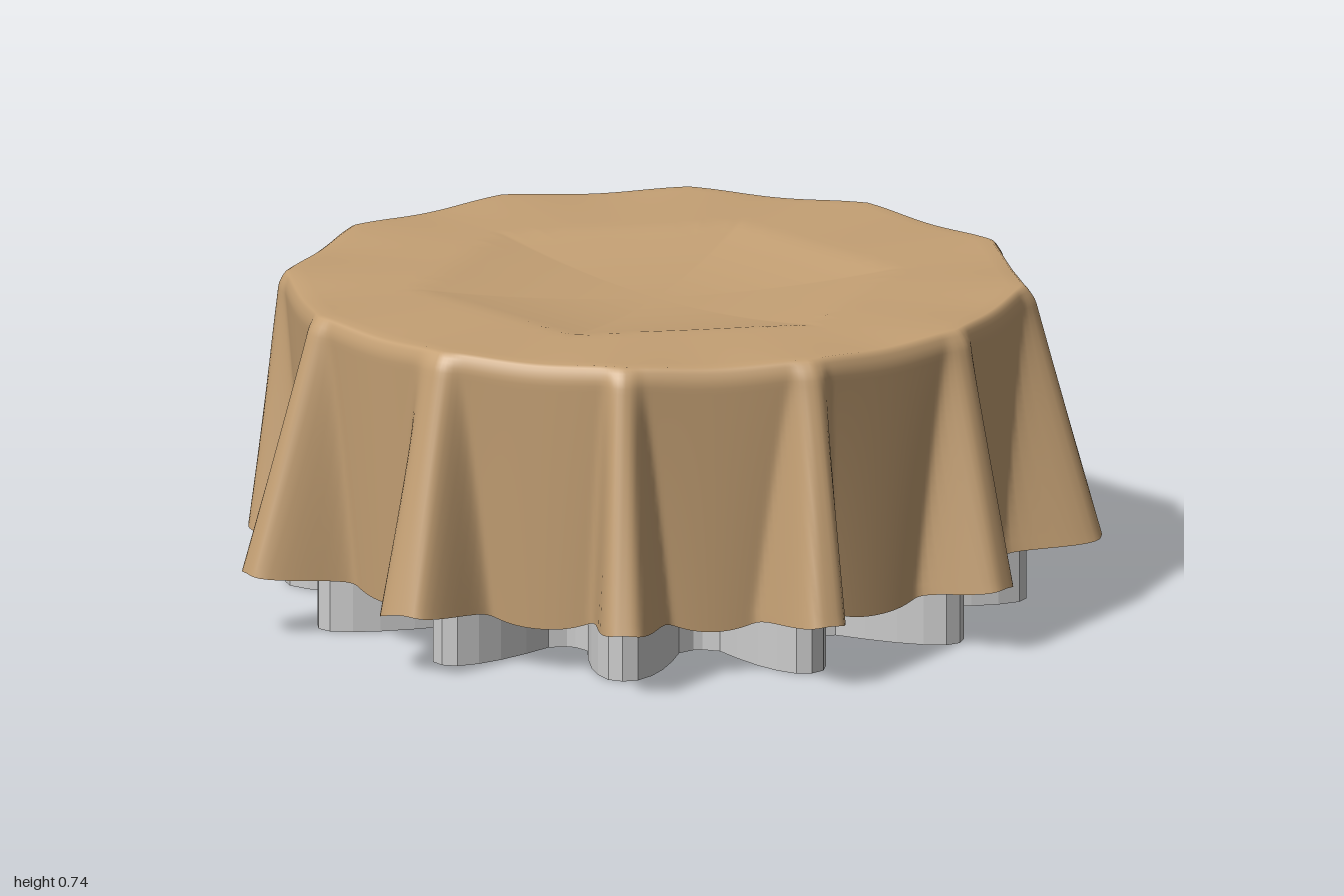
import * as THREE from 'three';

const RAD = Math.PI / 180;
const TEETH = 12, STEP = 30;

// Each cloth fold: [hem angle, hem radius, half width before, half width after], degrees from +z towards +x
const FOLDS = [
  [13.5, 1.01, 5, 4.5], [44.5, 0.985, 4.8, 4.8], [75.5, 1.02, 4.8, 4.8], [106, 1.01, 4.4, 4.4],
  [134.5, 0.995, 5.2, 5.2], [166, 1.01, 4.8, 4.8], [194.8, 1.035, 5, 5], [226.5, 1.035, 6, 15],
  [258.5, 0.93, 5.2, 4.8], [285, 1.03, 5, 4.8], [315.5, 1.01, 8.5, 4.8], [346, 1.02, 4.6, 4.6],
];

// Gear with rounded tapering teeth and a bore
function createGear() {
  const half = [[0.545, 0.135], [0.575, 0.105], [0.65, 0.097], [0.73, 0.082], [0.79, 0.062], [0.835, 0.034], [0.848, 0]];
  const tooth = [...half.map(([r, w]) => [r, -w]), ...half.slice(0, -1).reverse()];
  const points = [];
  for (let k = 0; k < TEETH; k++) {
    const a = (15 + k * STEP) * RAD, c = Math.cos(a), s = Math.sin(a);
    for (const [r, w] of tooth) points.push(new THREE.Vector2(r * c - w * s, r * s + w * c));
  }
  const shape = new THREE.Shape(points);
  shape.holes.push(new THREE.Path().absarc(0, 0, 0.145, 0, Math.PI * 2, true));
  const geometry = new THREE.ExtrudeGeometry(shape, { depth: 0.66, bevelEnabled: false, curveSegments: 6 });
  geometry.rotateX(-Math.PI / 2);
  const gear = new THREE.Mesh(geometry, new THREE.MeshStandardMaterial({ color: 0xcccccc, flatShading: true }));
  gear.name = 'gear';
  return gear;
}

// Radius of the twelve-sided rim, with its corners over the teeth and slightly bowed sides
function rimRadius(deg) {
  const d = ((deg + 15) % STEP + STEP) % STEP - 15;
  return 0.86 * Math.cos(14 * RAD) / Math.cos(d * 14 / 15 * RAD);
}

// Cloth top: flat with a shallow six-sided bowl in the middle
function topPoint(deg, f) {
  const r = rimRadius(deg) * 0.975 * f;
  const x = r * Math.sin(deg * RAD), z = r * Math.cos(deg * RAD);
  const hex = Math.max(Math.abs(z), Math.abs(x) * 0.866 + Math.abs(z) * 0.5) / 0.48;
  const sag = 0.045 * (1 - Math.min(1, hex) ** 2);
  const wave = 0.004 * Math.cos(deg * RAD * TEETH) * f ** 6;
  return [x, 0.733 - sag - wave, z];
}

// Cloth skirt: hanging panels with round-ended folds that grow towards the hem
function skirtPoint(deg, t) {
  let bulge = 0, lift = 0;
  FOLDS.forEach(([tip, reach, before, after], k) => {
    const corner = 15 + k * STEP;
    const centre = corner + (tip - corner) * t;
    const d = ((deg - centre + 540) % 360) - 180;
    const width = (d < 0 ? before : after) * (0.5 + 0.5 * t);
    const bump = Math.exp(-Math.pow(Math.abs(d) / width, 4));
    bulge += (reach - 0.805) * bump;
    lift += 0.05 * Math.exp(-Math.pow(d / 7.5, 2));
  });
  const edge = Math.min(1, t / 0.06);
  const rim = rimRadius(deg) * (0.975 + 0.025 * Math.sqrt(edge));
  const r = THREE.MathUtils.lerp(rim, 0.805, t) + bulge * t;
  const hem = 0.1 + lift;
  const wave = 0.004 * Math.cos(deg * RAD * TEETH) * (1 - t);
  const y = THREE.MathUtils.lerp(0.733, hem, t) - wave;
  return [r * Math.sin(deg * RAD), y, r * Math.cos(deg * RAD)];
}

function createCloth() {
  const cols = 600, topRows = 24, skirtRows = 32;
  const positions = [], index = [];
  for (let i = 0; i <= topRows + skirtRows; i++) {
    for (let j = 0; j < cols; j++) {
      const deg = j * 360 / cols;
      positions.push(...(i <= topRows
        ? topPoint(deg, i / topRows)
        : skirtPoint(deg, Math.pow((i - topRows) / skirtRows, 1.4))));
    }
  }
  for (let i = 0; i < topRows + skirtRows; i++) {
    for (let j = 0; j < cols; j++) {
      const next = (j + 1) % cols;
      const a = i * cols + j, b = i * cols + next;
      const c = a + cols, d = b + cols;
      index.push(a, c, d);
      if (i > 0) index.push(a, d, b);
    }
  }
  const geometry = new THREE.BufferGeometry();
  geometry.setAttribute('position', new THREE.Float32BufferAttribute(positions, 3));
  geometry.setIndex(index);
  geometry.computeVertexNormals();
  const cloth = new THREE.Mesh(geometry, new THREE.MeshStandardMaterial({ color: 0xc4a074, side: THREE.DoubleSide }));
  cloth.name = 'drapedCloth';
  return cloth;
}

export function createModel() {
  const model = new THREE.Group();
  model.name = 'clothCoveredGear';
  model.add(createGear(), createCloth());
  return model;
}
